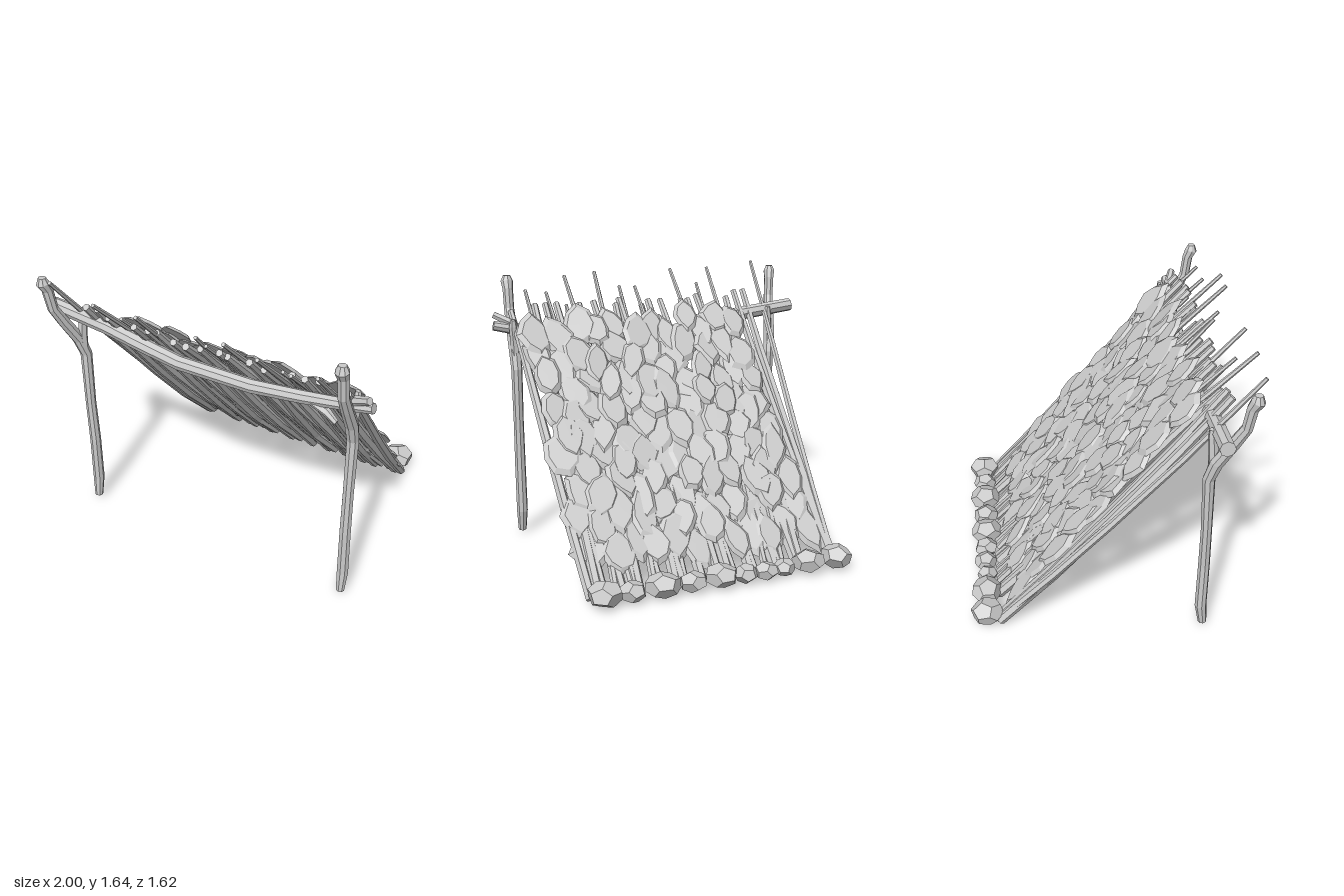
import * as THREE from 'three';

const mat = new THREE.MeshStandardMaterial({ color: 0xcccccc, flatShading: true });

function makeRandom(seed) {
  return () => {
    seed = (seed * 16807) % 2147483647;
    return seed / 2147483647;
  };
}

function addMesh(parent, geometry, name) {
  const mesh = new THREE.Mesh(geometry, mat);
  mesh.name = name;
  parent.add(mesh);
  return mesh;
}

// Capped, faceted limb through points [x, y, z, radius]
function limb(parent, name, pts, sides = 6) {
  const n = pts.length - 1;
  const P = pts.map(p => new THREE.Vector3(p[0], p[1], p[2]));
  const span = P[n].clone().sub(P[0]).normalize();
  const ref = Math.abs(span.x) > 0.6 ? new THREE.Vector3(0, 0, 1) : new THREE.Vector3(1, 0, 0);
  const frames = P.map((p, i) => {
    const T = P[Math.min(i + 1, n)].clone().sub(P[Math.max(i - 1, 0)]).normalize();
    const N = T.clone().cross(ref).normalize();
    return { N, B: N.clone().cross(T) };
  });
  const geo = new THREE.CylinderGeometry(1, 1, 1, sides, n);
  const pos = geo.attributes.position;
  for (let i = 0; i < pos.count; i++) {
    const k = Math.round((pos.getY(i) + 0.5) * n);
    const r = pts[k][3];
    const v = P[k].clone()
      .addScaledVector(frames[k].N, pos.getX(i) * r)
      .addScaledVector(frames[k].B, pos.getZ(i) * r);
    pos.setXYZ(i, v.x, v.y, v.z);
  }
  geo.computeVertexNormals();
  return addMesh(parent, geo, name);
}

// Irregular bevelled plate, flat in local xz, pointed towards its ends
function plateGeometry(rand) {
  const sides = 8;
  const radii = Array.from({ length: sides }, (_, k) => 0.82 + rand() * 0.28 + (k % 4 === 2 ? 0.15 : 0));
  const geo = new THREE.CylinderGeometry(0.75, 1, 1, sides);
  const pos = geo.attributes.position;
  for (let i = 0; i < pos.count; i++) {
    const x = pos.getX(i), z = pos.getZ(i);
    if (Math.hypot(x, z) < 0.01) continue;
    const k = (Math.round(Math.atan2(z, x) / (Math.PI * 2) * sides) + sides) % sides;
    pos.setXYZ(i, x * radii[k], pos.getY(i), z * radii[k]);
  }
  return geo;
}

export function createModel() {
  const model = new THREE.Group();
  model.name = 'leanToShelter';
  const rand = makeRandom(4217);
  const jitter = a => (rand() * 2 - 1) * a;

  // Forked posts: [x drift, y, z, radius]; one of them leans outward
  const profile = [
    [0, 0.02, 0.525, 0.025], [0, 0.15, 0.508, 0.034], [0.008, 0.45, 0.51, 0.033], [0, 0.72, 0.505, 0.031],
    [-0.002, 1.06, 0.495, 0.034], [-0.02, 1.17, 0.525, 0.037], [-0.05, 1.31, 0.6, 0.034],
    [-0.07, 1.41, 0.65, 0.031], [-0.08, 1.53, 0.665, 0.032],
    [-0.09, 1.575, 0.685, 0.038], [-0.09, 1.61, 0.685, 0.022]
  ];
  for (const [side, x, lean] of [['right', -0.83, 1], ['left', 0.87, 0]]) {
    const post = new THREE.Group();
    post.name = side + 'Post';
    model.add(post);
    limb(post, 'postTrunk', profile.map(([dx, y, z, r]) => [x + dx * lean, y, z, r]), 8);
    limb(post, 'postProng', [
      [x, 1.1, 0.51, 0.026], [x, 1.2, 0.51, 0.029], [x + 0.01, 1.32, 0.5, 0.025], [x + 0.01, 1.36, 0.495, 0.016]
    ]);
  }

  // Sagging ridge beam with a forked end
  const beam = new THREE.Group();
  beam.name = 'ridgeBeam';
  model.add(beam);
  limb(beam, 'beamTrunk', [
    [-1, 1.36, 0.535, 0.042], [-0.62, 1.315, 0.535, 0.044], [-0.4, 1.27, 0.535, 0.044],
    [-0.15, 1.225, 0.535, 0.042], [0.3, 1.222, 0.535, 0.04], [0.6, 1.255, 0.535, 0.037],
    [0.85, 1.295, 0.54, 0.033], [0.99, 1.325, 0.55, 0.029]
  ], 8);
  limb(beam, 'beamTwig', [[0.8, 1.28, 0.54, 0.026], [0.9, 1.345, 0.555, 0.026], [0.98, 1.385, 0.585, 0.022]]);
  limb(beam, 'beamTwig', [[0.66, 1.25, 0.54, 0.028], [0.74, 1.22, 0.55, 0.025], [0.8, 1.18, 0.56, 0.016]]);

  // Rafters: [foot x, tip x, tip height, tip z, foot radius]
  const rafters = [
    [-0.71, -0.69, 1.46, 0.62, 0.034], [-0.69, -0.62, 1.46, 0.61, 0.032], [-0.49, -0.56, 1.42, 0.6, 0.034],
    [-0.47, -0.36, 1.44, 0.64, 0.032], [-0.33, -0.29, 1.42, 0.61, 0.033], [-0.17, -0.24, 1.42, 0.6, 0.032],
    [-0.2, -0.11, 1.42, 0.64, 0.032], [-0.04, -0.03, 1.42, 0.645, 0.035], [0.02, 0.03, 1.4, 0.6, 0.031],
    [0.12, 0.17, 1.44, 0.64, 0.033], [0.28, 0.2, 1.41, 0.61, 0.032], [0.24, 0.34, 1.43, 0.63, 0.033],
    [0.49, 0.43, 1.42, 0.64, 0.032], [0.5, 0.58, 1.43, 0.63, 0.033], [0.58, 0.65, 1.43, 0.63, 0.031],
    [0.72, 0.72, 1.43, 0.61, 0.034], [0.76, 0.87, 1.4, 0.6, 0.03],
    [-0.705, -0.81, 1.635, 0.75, 0.024], [-0.38, -0.5, 1.6, 0.785, 0.024], [-0.36, -0.235, 1.6, 0.78, 0.024],
    [0.4, 0.285, 1.6, 0.785, 0.024], [0.36, 0.48, 1.58, 0.8, 0.024], [-0.27, -0.39, 1.51, 0.7, 0.022],
    [-0.08, 0.05, 1.51, 0.67, 0.022], [0.22, 0.14, 1.51, 0.715, 0.022], [0.53, 0.62, 1.49, 0.72, 0.022],
    [0.68, 0.755, 1.51, 0.705, 0.022], [0.62, 0.52, 1.42, 0.61, 0.022]
  ];
  const rafterGroup = new THREE.Group();
  rafterGroup.name = 'rafters';
  model.add(rafterGroup);
  for (const [x0, x1, top, tipZ, r] of rafters) {
    const thin = r < 0.026;
    const lift = (thin ? 0.02 : 0) + jitter(0.014);
    const at = (t, y, z, k) => [x0 + (x1 - x0) * t, y, z, r * k];
    limb(rafterGroup, 'rafter', [
      at(0, 0.024, -0.642 + jitter(0.008), 0.95), at(0.25, 0.36 + lift, -0.32, 1),
      at(0.5, 0.715 + lift, -0.005, 0.95), at(0.8, 1.145 + lift, 0.36, 0.8),
      at(1, top, tipZ, thin ? 0.48 : 0.62)
    ]);
  }

  // Closely overlapping bark plates covering the slope
  const cover = new THREE.Group();
  cover.name = 'barkCover';
  model.add(cover);
  const rows = 9, cols = 12;
  for (let i = 0; i < rows; i++) {
    for (let j = 0; j < cols; j++) {
      const z = -0.49 + i * 0.113 + (j % 2 - 0.5) * 0.04 + jitter(0.025);
      const x = -0.57 + j * 0.117 + (i % 2) * 0.035 + (i / rows - 0.5) * 0.06 + jitter(0.025);
      const plate = addMesh(cover, plateGeometry(rand), 'barkPlate');
      plate.position.set(x, 0.796 + 1.19 * z + jitter(0.018), z);
      plate.scale.set(0.085 + rand() * 0.03, 0.016 + rand() * 0.008, 0.115 + rand() * 0.04);
      plate.rotation.set(-0.85 + jitter(0.05), jitter(0.3), jitter(0.16));
    }
  }

  // Stones holding down the foot of the slope: [x, half width, half height, half depth]
  const stones = [
    [-0.685, 0.092, 0.07, 0.098], [-0.505, 0.1, 0.068, 0.09], [-0.355, 0.062, 0.052, 0.062],
    [-0.235, 0.072, 0.053, 0.07], [-0.11, 0.07, 0.055, 0.075], [0.035, 0.098, 0.066, 0.098],
    [0.205, 0.082, 0.058, 0.08], [0.38, 0.105, 0.068, 0.098], [0.55, 0.075, 0.06, 0.075],
    [0.705, 0.1, 0.072, 0.1]
  ];
  const stoneGroup = new THREE.Group();
  stoneGroup.name = 'footStones';
  model.add(stoneGroup);
  for (const [x, w, h, d] of stones) {
    const geo = new THREE.DodecahedronGeometry(1);
    geo.rotateX(rand() * 3).rotateY(rand() * 3).rotateZ(rand() * 3);
    const stone = addMesh(stoneGroup, geo, 'footStone');
    stone.scale.set(w, h, d);
    stone.position.set(x, h + 0.005, -0.715 + jitter(0.01));
  }

  return model;
}
